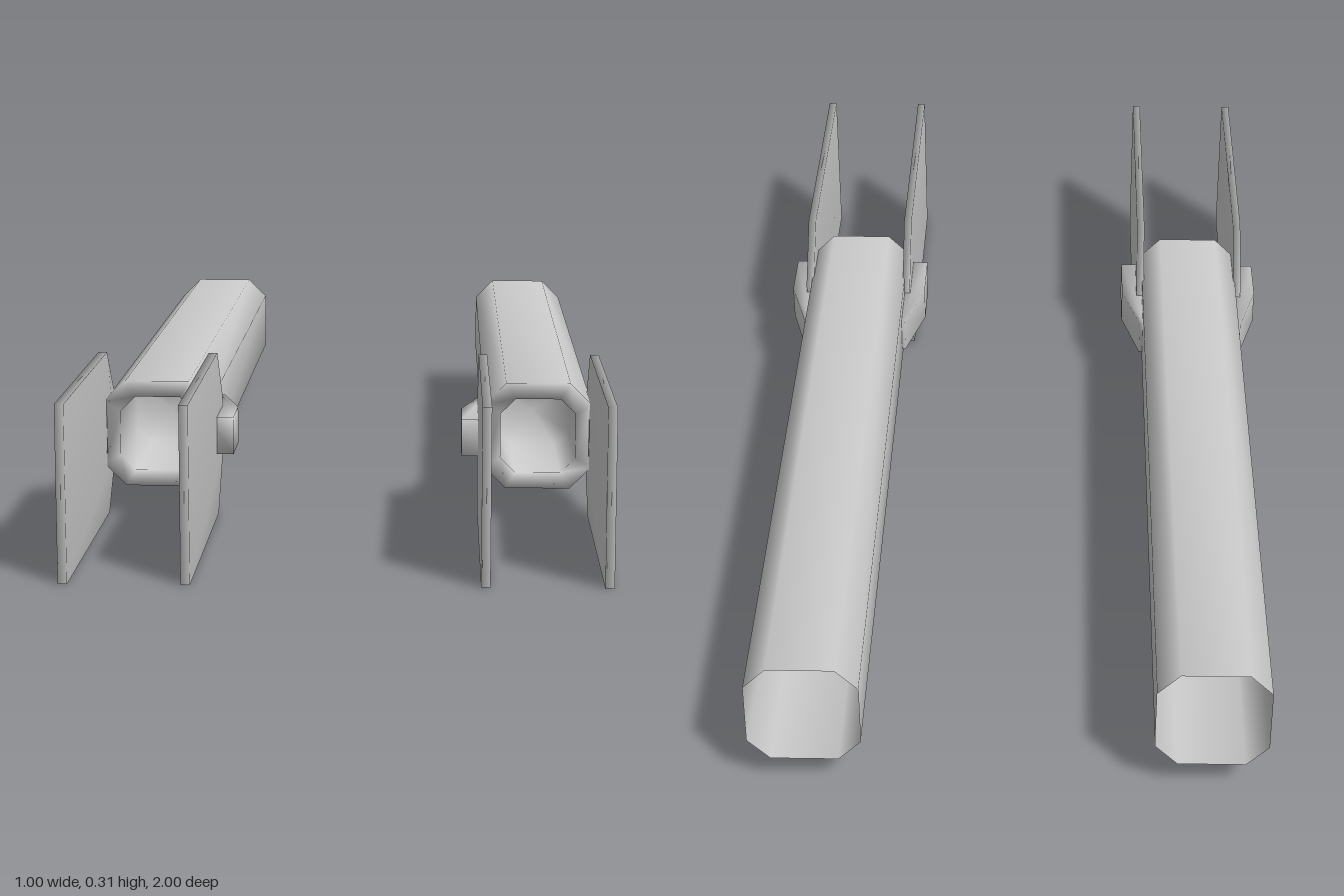
import * as THREE from 'three';
import { mergeVertices } from 'three/addons/utils/BufferGeometryUtils.js';

const material = new THREE.MeshStandardMaterial({ color: 0xcccccc, side: THREE.DoubleSide });
const CENTER_Y = 0.157;

// Share corner vertices so shading rolls softly over the edges
function soften(geometry) {
  geometry.deleteAttribute('uv');
  geometry.deleteAttribute('normal');
  const merged = mergeVertices(geometry, 1e-4);
  merged.computeVertexNormals();
  return merged;
}

function extrude(points, depth) {
  const shape = new THREE.Shape(points.map(([x, y]) => new THREE.Vector2(x, y)));
  return new THREE.ExtrudeGeometry(shape, { depth, bevelEnabled: false });
}

function part(name, geometry, parent) {
  const mesh = new THREE.Mesh(geometry, material);
  mesh.name = name;
  parent.add(mesh);
  return mesh;
}

// Octagonal tube, open at the back, with a rim and a blind bore at the front
function barrelGeometry() {
  const rings = [
    { r: 0.1, flat: 0.06, z: -1 },
    { r: 0.1, flat: 0.06, z: 0.47 },
    { r: 0.07, flat: 0.042, z: 0.47 },
    { r: 0.07, flat: 0.042, z: 0.2 },
  ];
  const positions = [];
  const index = [];
  for (const { r, flat: f, z } of rings) {
    const corners = [[r, -f], [r, f], [f, r], [-f, r], [-r, f], [-r, -f], [-f, -r], [f, -r]];
    for (const [x, y] of corners) positions.push(x, y, z);
  }
  for (let i = 0; i < rings.length - 1; i++) {
    for (let k = 0; k < 8; k++) {
      const a = i * 8 + k;
      const b = i * 8 + (k + 1) % 8;
      index.push(a, b, a + 8, b, b + 8, a + 8);
    }
  }
  // Floor of the bore
  const last = (rings.length - 1) * 8;
  positions.push(0, 0, rings[rings.length - 1].z);
  for (let k = 0; k < 8; k++) index.push(last + k, last + (k + 1) % 8, last + 8);

  const geometry = new THREE.BufferGeometry();
  geometry.setAttribute('position', new THREE.Float32BufferAttribute(positions, 3));
  geometry.setIndex(index);
  geometry.computeVertexNormals();
  return geometry;
}

// Flat side plate, chamfered at its rear corners
function plateGeometry() {
  const h = 0.154;
  const outline = [[1, -h], [1, h], [0.45, h], [0.345, 0.052], [0.345, -0.052], [0.45, -h]];
  const geometry = extrude(outline, 0.016);
  geometry.translate(0, 0, -0.008);
  // Profile runs along z, thickness along x
  geometry.rotateY(-Math.PI / 2);
  return soften(geometry);
}

// Wedge-backed lug that clamps a plate to the +x side of the barrel
function lugGeometry() {
  const outline = [[0.095, 0.23], [0.107, 0.23], [0.143, 0.36], [0.143, 0.475], [0.095, 0.475]];
  const geometry = extrude(outline, 0.07);
  geometry.translate(0, 0, -0.035);
  geometry.rotateX(Math.PI / 2);
  return soften(geometry);
}

export function createModel() {
  const model = new THREE.Group();
  model.name = 'twinBarrels';
  const barrel = barrelGeometry();
  const plate = plateGeometry();
  const lug = lugGeometry();

  for (const [side, x] of [['left', 0.357], ['right', -0.357]]) {
    const unit = new THREE.Group();
    unit.name = side + 'BarrelUnit';
    unit.position.set(x, CENTER_Y - 0.003, 0);
    part('barrel', barrel, unit).position.y = 0.003;
    for (const s of [1, -1]) {
      part('sidePlate', plate, unit).position.x = s * 0.104;
      const clamp = part('plateLug', lug, unit);
      // Symmetric in height, so a half turn about z mirrors it
      if (s < 0) clamp.rotation.z = Math.PI;
    }
    model.add(unit);
  }
  return model;
}
